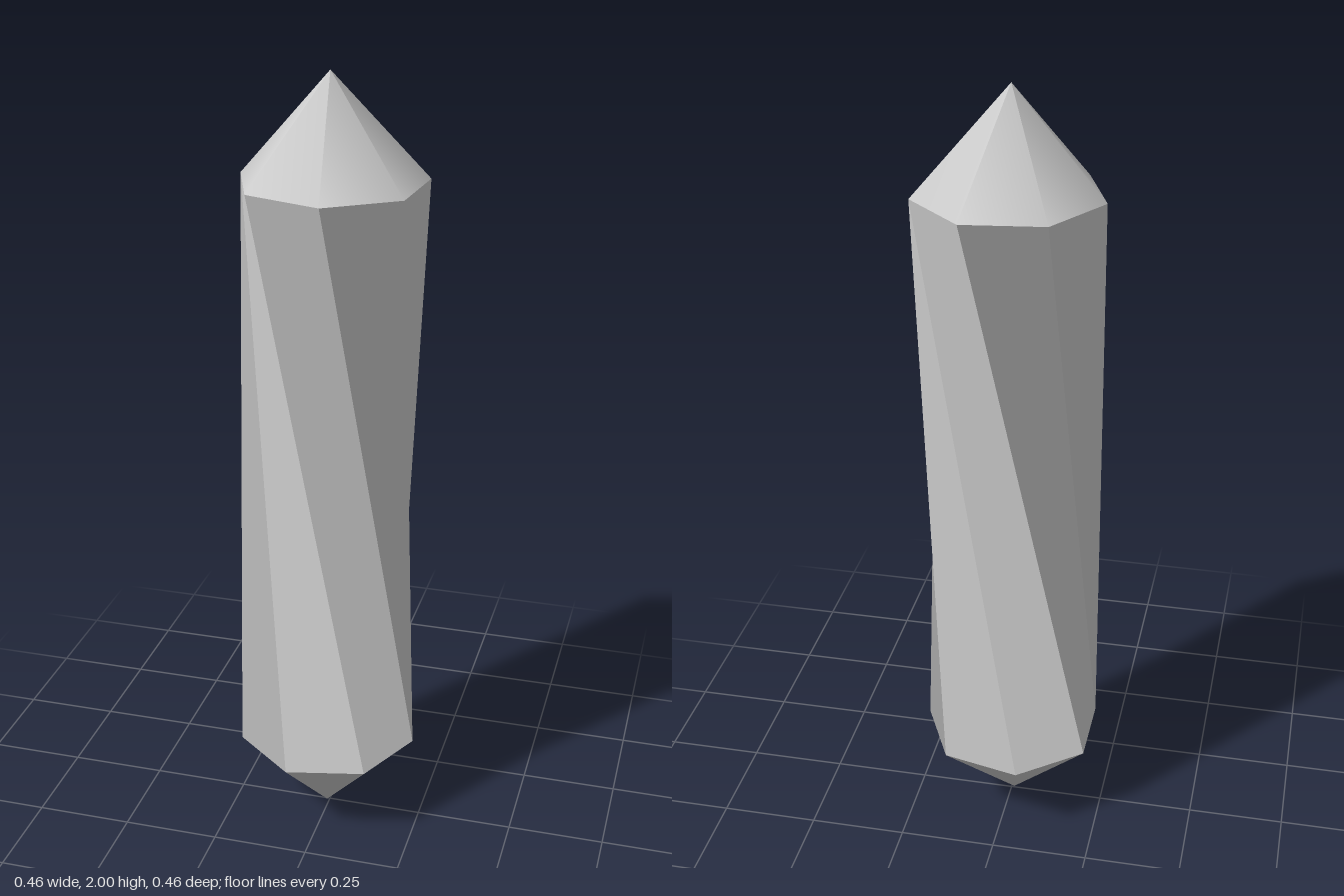
import * as THREE from 'three';

const SIDES = 7;
const RADIUS = 0.234;
const STEP = (Math.PI * 2) / SIDES;
const TOP = { x: 0.004, y: 1.74, z: -0.008, turn: THREE.MathUtils.degToRad(30.9) };
const BOTTOM = { x: -0.005, y: 0.228, z: 0, turn: 0 };

const material = new THREE.MeshStandardMaterial({ color: 0xcccccc });

// Corner i of a seven-sided ring
function corner(ring, i) {
  const a = ring.turn + i * STEP;
  return new THREE.Vector3(ring.x + RADIUS * Math.cos(a), ring.y, ring.z + RADIUS * Math.sin(a));
}

// Twisted shaft: each slanted strip is a bent quad shaded with a single normal
function shaftGeometry() {
  const positions = [];
  const normals = [];
  for (let i = 0; i < SIDES; i++) {
    const t0 = corner(TOP, i);
    const t1 = corner(TOP, i + 1);
    const b0 = corner(BOTTOM, i);
    const b1 = corner(BOTTOM, i - 1);
    const n = b0.clone().sub(t0).cross(b1.clone().sub(t1)).normalize();
    for (const p of [t0, t1, b0, t0, b0, b1]) {
      positions.push(p.x, p.y, p.z);
      normals.push(n.x, n.y, n.z);
    }
  }
  const g = new THREE.BufferGeometry();
  g.setAttribute('position', new THREE.Float32BufferAttribute(positions, 3));
  g.setAttribute('normal', new THREE.Float32BufferAttribute(normals, 3));
  return g;
}

// Smooth pointed end whose base matches a ring and whose tip is slightly off centre
function pointGeometry(ring, tip) {
  const h = Math.abs(tip.y - ring.y);
  const up = tip.y > ring.y;
  const g = new THREE.CylinderGeometry(
    up ? 0 : RADIUS, up ? RADIUS : 0, h, SIDES, 1, true, Math.PI / 2 - ring.turn);
  g.translate(ring.x, (ring.y + tip.y) / 2, ring.z);
  const p = g.attributes.position;
  for (let i = 0; i < p.count; i++) {
    if (Math.abs(p.getY(i) - tip.y) < 1e-4) p.setXYZ(i, tip.x, tip.y, tip.z);
  }
  return g;
}

export function createModel() {
  const model = new THREE.Group();
  model.name = 'crystal';
  const parts = {
    twistedShaft: shaftGeometry(),
    topPoint: pointGeometry(TOP, new THREE.Vector3(0, 2, -0.004)),
    bottomPoint: pointGeometry(BOTTOM, new THREE.Vector3(-0.007, 0, 0.004)),
  };
  for (const [name, geometry] of Object.entries(parts)) {
    const mesh = new THREE.Mesh(geometry, material);
    mesh.name = name;
    model.add(mesh);
  }
  return model;
}
